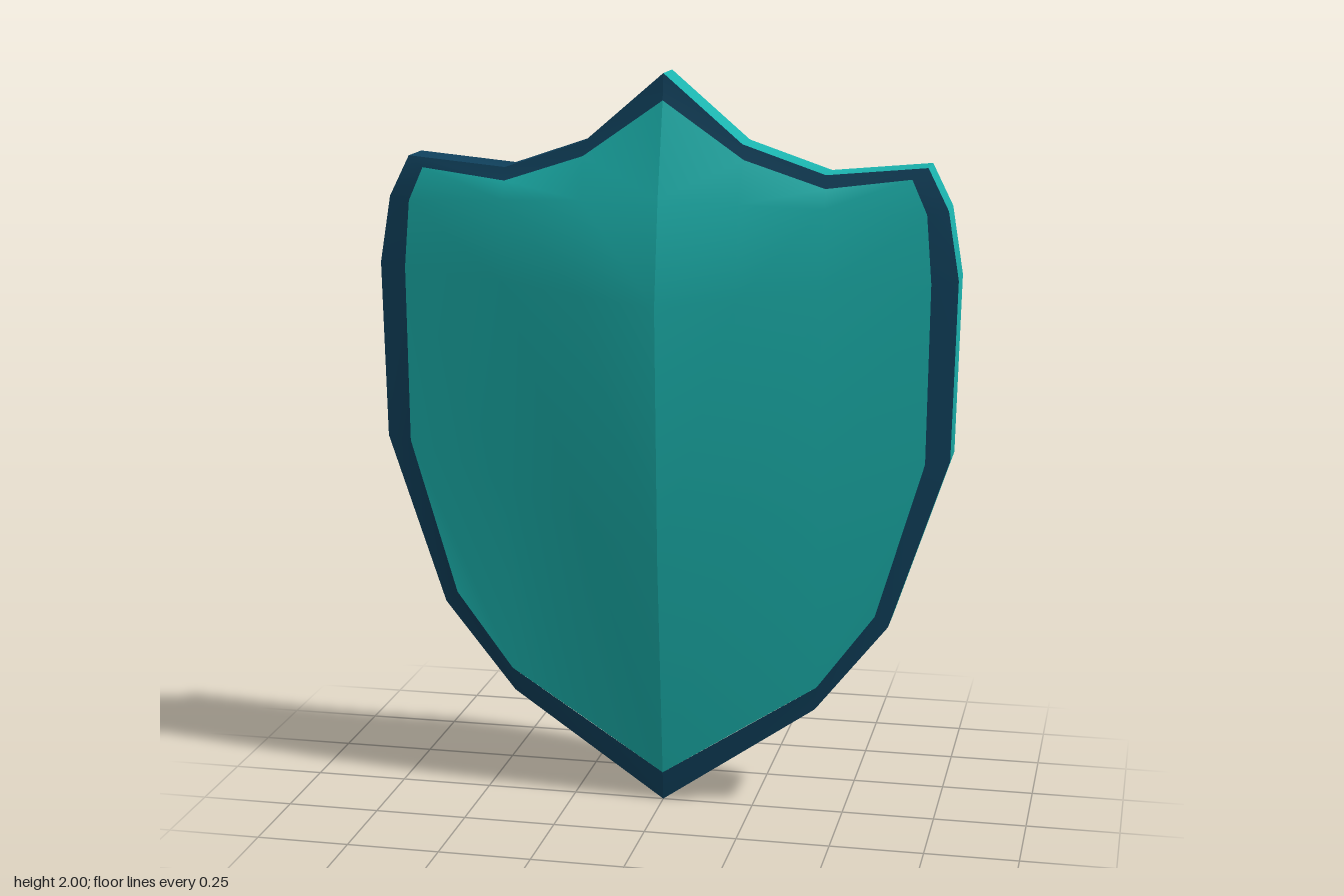
import * as THREE from 'three';
import { toCreasedNormals } from 'three/addons/utils/BufferGeometryUtils.js';

const TEAL = 0x1bb3ae, NAVY = 0x10425e;
const BACK = -0.115, RECESS = -0.1, LIP = 0.008;

// Half outlines, clockwise from the top point to the bottom point
const OUTER = [[0, 2], [0.21, 1.82], [0.43, 1.745], [0.695, 1.77], [0.75, 1.66],
  [0.78, 1.48], [0.77, 1], [0.615, 0.535], [0.42, 0.29], [0, 0]];
const INNER = [[0, 1.93], [0.215, 1.78], [0.43, 1.71], [0.655, 1.74], [0.695, 1.65],
  [0.71, 1.47], [0.705, 0.99], [0.58, 0.565], [0.425, 0.355], [0, 0.08]];

const ring = (outline, z) => outline.map(([x, y]) => [x, y, z]);

// Surface through rows of points; side = -1 mirrors it, flip turns it over
function grid(rows, side, flip = false) {
  const n = rows[0].length, index = [];
  const position = rows.flat().flatMap(([x, y, z]) => [x * side, y, z]);
  for (let r = 0; r < rows.length - 1; r++) {
    for (let c = 0; c < n - 1; c++) {
      const a = r * n + c, b = a + n;
      const quad = [a, b, a + 1, a + 1, b, b + 1];
      index.push(...((side < 0) !== flip ? quad.reverse() : quad));
    }
  }
  const geometry = new THREE.BufferGeometry();
  geometry.setAttribute('position', new THREE.Float32BufferAttribute(position, 3));
  geometry.setIndex(index);
  geometry.computeVertexNormals();
  return geometry;
}

// Half of the bulging face: five rows from the ridge out to the rim
function faceRows(offset) {
  const ridge = [[1.93, 0], [1.68, 0.065], [1.4, 0.11], [0.7, 0.072], [0.08, 0]];
  const fall = [1, 0.78, 0.38, 0];
  const bottom = [INNER[9], [0.215, 0.22], INNER[8], INNER[7]];
  return ridge.map(([y, bulge], r) => fall.map((f, c) => {
    const end = INNER[3 + r];
    let p = [[0, 0.21, 0.43, end[0]][c], y + (end[1] - y) * c / 3];
    if (r === 0) p = INNER[c];
    if (r === 4) p = bottom[c];
    return [...p, offset + bulge * f];
  }));
}

export function createModel() {
  const group = new THREE.Group();
  const add = (name, geometry, color) => {
    const mesh = new THREE.Mesh(geometry, new THREE.MeshStandardMaterial({ color }));
    mesh.name = name;
    group.add(mesh);
  };

  for (const [side, label] of [[1, 'left'], [-1, 'right']]) {
    // Curved panel, front and hollow back
    add(label + 'FrontPanel', grid(faceRows(LIP), side), TEAL);
    add(label + 'BackPanel', grid(faceRows(RECESS), side, true), TEAL);

    // Front border, sloping slightly up to the panel
    const front = grid([ring(OUTER, 0), ring(INNER, LIP)], side);
    add(label + 'FrontRim', toCreasedNormals(front, 0.6), NAVY);

    // Back border with its small inner step
    const back = grid([ring(INNER, RECESS), ring(INNER, BACK), ring(OUTER, BACK)], side);
    add(label + 'BackRim', toCreasedNormals(back, 0.6), NAVY);

    // Outer edge, teal on one half and navy on the other
    const edge = grid([ring(OUTER, BACK), ring(OUTER, 0)], side);
    add(label + 'OuterEdge', toCreasedNormals(edge, 0.7), side > 0 ? TEAL : NAVY);
  }
  return group;
}
